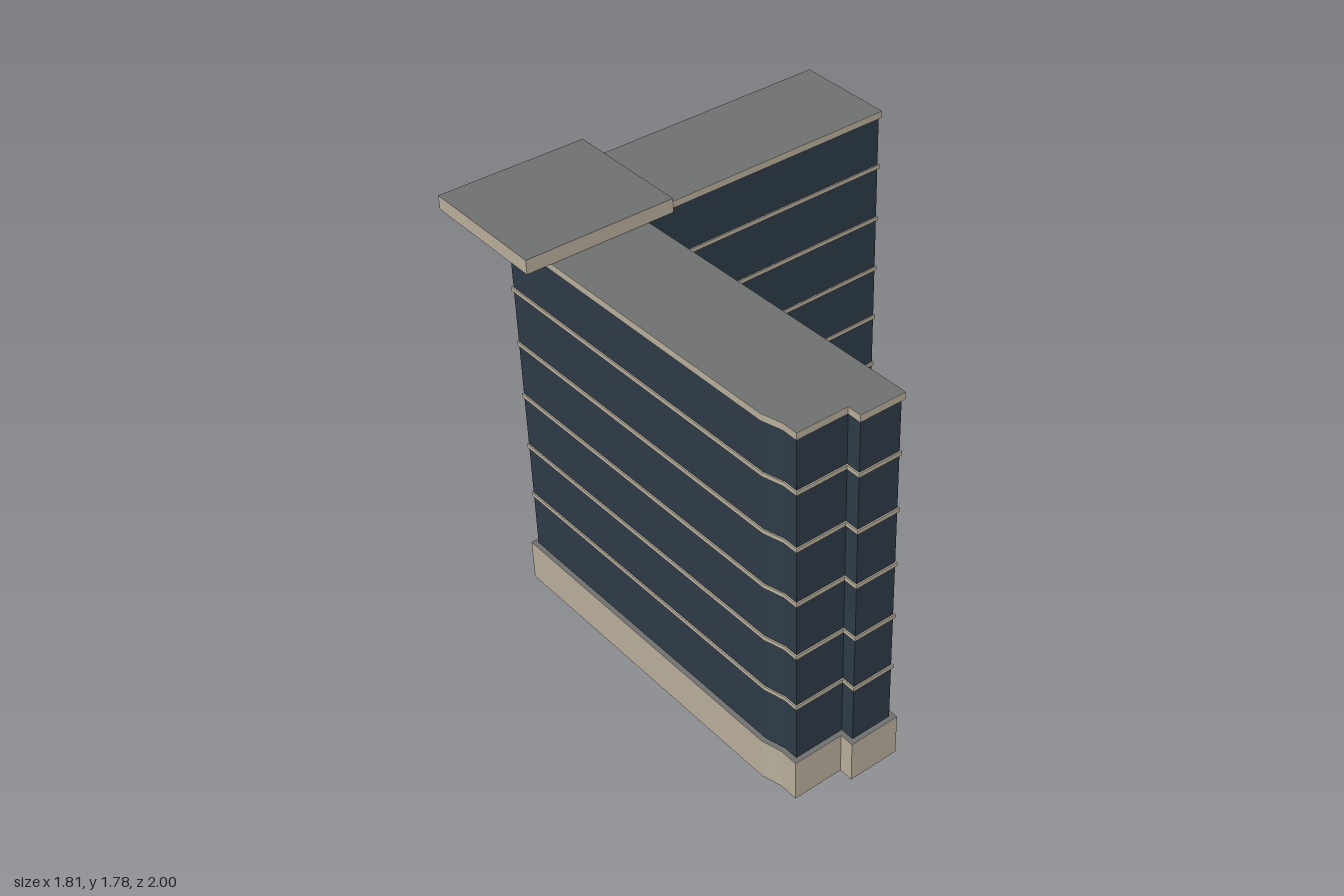
import * as THREE from 'three';

// Plinth footprint as [x, z], counterclockwise seen from above
const FOOTPRINT = [
  [0.905, -0.97], [-0.375, -0.957], [-0.375, -0.78], [-0.56, -0.78], [-0.56, -0.73],
  [-0.812, -0.73], [-0.793, 0.767], [-0.77, 0.855], [-0.77, 0.935], [-0.547, 0.935],
  [-0.547, 0.997], [-0.321, 0.997], [-0.343, -0.468], [0.9, -0.483],
];

// Footprint moved inwards by d with mitred corners, as a shape with y = -z
function footprintShape(d) {
  const pts = FOOTPRINT.map(([x, z]) => new THREE.Vector2(x, -z));
  const n = pts.length;
  const inward = (a, b) => {
    const v = b.clone().sub(a).normalize();
    return new THREE.Vector2(-v.y, v.x);
  };
  return new THREE.Shape(pts.map((p, i) => {
    const n1 = inward(pts[(i + n - 1) % n], p);
    const n2 = inward(p, pts[(i + 1) % n]);
    const miter = n1.clone().add(n2).multiplyScalar(d / (1 + n1.dot(n2)));
    return p.clone().add(miter);
  }));
}

export function createModel() {
  const stone = new THREE.MeshStandardMaterial({ color: 0xb9af9c });
  const glass = new THREE.MeshStandardMaterial({ color: 0x2d3b47 });
  const roofing = new THREE.MeshStandardMaterial({ color: 0x6e7170 });
  stone.name = 'stone';
  glass.name = 'darkGlass';
  roofing.name = 'greyRoofing';

  const model = new THREE.Group();
  model.name = 'building';

  const add = (name, geometry, material, y) => {
    const mesh = new THREE.Mesh(geometry, material);
    mesh.name = name;
    mesh.position.y = y;
    model.add(mesh);
    return mesh;
  };
  const layer = (name, inset, y0, y1, material) => add(name,
    new THREE.ExtrudeGeometry(footprintShape(inset), { depth: y1 - y0, bevelEnabled: false })
      .rotateX(-Math.PI / 2), material, y0);
  const deck = (name, inset, y) => add(name,
    new THREE.ShapeGeometry(footprintShape(inset)).rotateX(-Math.PI / 2), roofing, y + 0.001);

  // Plinth and its ledge
  layer('plinth', 0, 0, 0.188, stone);
  deck('plinthLedge', 0, 0.188);

  // Glazed storeys with a thin stone band at each floor
  layer('glazedWalls', 0.021, 0.188, 1.69, glass);
  for (let i = 0; i < 5; i++) {
    const y = 0.452 + i * 0.252;
    layer('floorBand' + (i + 1), 0.015, y - 0.009, y + 0.009, stone);
  }

  // Parapet and roof
  layer('parapet', 0.012, 1.69, 1.72, stone);
  deck('roofDeck', 0.012, 1.72);

  // Overhanging slab over the corner
  const slab = add('cornerSlab', new THREE.BoxGeometry(0.665, 0.061, 0.585),
    [stone, stone, roofing, stone, stone, stone], 1.7525);
  slab.position.x = -0.5725;
  slab.position.z = -0.7075;

  return model;
}
